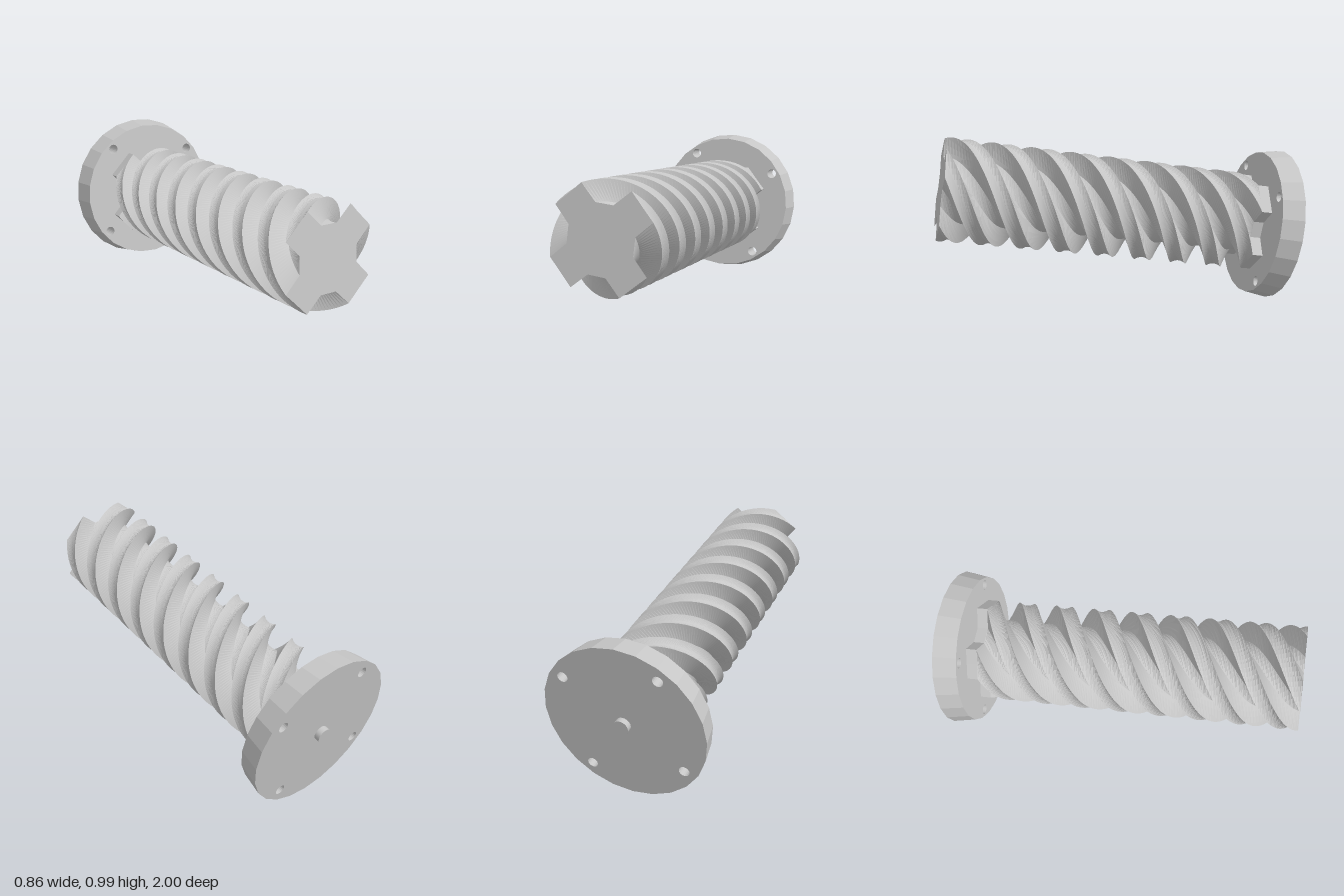
import * as THREE from 'three';

const TILT = THREE.MathUtils.degToRad(9);
const FLANGE = 0.125;   // flange thickness
const LENGTH = 1.914;   // back of flange to tip
const STUB = 0.06;      // untwisted root of the screw
const rad = THREE.MathUtils.degToRad;

// Four-toothed section: flat-topped teeth with trapezoid grooves between them
function section() {
  const pts = [];
  for (let k = 0; k < 4; k++) {
    const c = -4 + k * 90; // middle of the groove
    const corners = [[-27, 0.277], [-15, 0.175], [15, 0.175], [27, 0.277]];
    for (const [a, r] of corners) {
      pts.push(new THREE.Vector2(r * Math.cos(rad(c + a)), r * Math.sin(rad(c + a))));
    }
    // middle of the flat tooth top
    pts.push(new THREE.Vector2(0.263 * Math.cos(rad(c + 45)), 0.263 * Math.sin(rad(c + 45))));
  }
  return pts;
}

// Sweep the section along z, turning it twice
function twistedShaft() {
  const pts = section(), n = pts.length, rows = 240;
  const z0 = FLANGE - 0.01, z1 = FLANGE + STUB;
  const pos = [], idx = [];
  for (let i = 0; i <= rows; i++) {
    const z = i === 0 ? z0 : z1 + (LENGTH - z1) * (i - 1) / (rows - 1);
    const turn = -4 * Math.PI * (LENGTH - Math.max(z, z1)) / (LENGTH - z1);
    const c = Math.cos(turn), s = Math.sin(turn);
    for (const p of pts) pos.push(p.x * c - p.y * s, p.x * s + p.y * c, z);
  }
  for (let i = 0; i < rows; i++) {
    for (let j = 0; j < n; j++) {
      const a = i * n + j, b = i * n + (j + 1) % n;
      idx.push(a, b, b + n, a, b + n, a + n);
    }
  }
  // end caps
  const back = pos.length / 3;
  pos.push(0, 0, z0, 0, 0, LENGTH);
  for (let j = 0; j < n; j++) {
    const k = (j + 1) % n;
    idx.push(back, k, j, back + 1, rows * n + j, rows * n + k);
  }
  const indexed = new THREE.BufferGeometry();
  indexed.setAttribute('position', new THREE.Float32BufferAttribute(pos, 3));
  indexed.setIndex(idx);
  const geo = indexed.toNonIndexed();
  geo.computeVertexNormals();
  return geo;
}

// Faceted disc with four bolt holes, narrowing slightly to the front
function flangeGeometry() {
  const shape = new THREE.Shape();
  const sides = 24;
  for (let i = 0; i < sides; i++) {
    const a = i / sides * Math.PI * 2;
    const x = 0.43 * Math.cos(a), y = 0.43 * Math.sin(a);
    if (i === 0) shape.moveTo(x, y); else shape.lineTo(x, y);
  }
  shape.closePath();
  for (let k = 0; k < 4; k++) {
    const a = rad(35 + k * 90);
    const hole = new THREE.Path();
    hole.absarc(0.365 * Math.cos(a), 0.365 * Math.sin(a), 0.028, 0, Math.PI * 2, true);
    shape.holes.push(hole);
  }
  const geo = new THREE.ExtrudeGeometry(shape, { depth: FLANGE, bevelEnabled: false, curveSegments: 10 });
  const p = geo.attributes.position;
  for (let i = 0; i < p.count; i++) {
    const r = Math.hypot(p.getX(i), p.getY(i));
    if (r > 0.41 && p.getZ(i) > FLANGE / 2) {
      p.setXY(i, p.getX(i) * 0.408 / r, p.getY(i) * 0.408 / r);
    }
  }
  geo.computeVertexNormals();
  return geo;
}

export function createModel() {
  const grey = new THREE.MeshStandardMaterial({ color: 0xc6c6c6 });
  grey.name = 'light grey';

  const model = new THREE.Group();
  model.name = 'flangedScrew';
  const screw = new THREE.Group();
  screw.name = 'tiltedScrew';
  screw.rotation.x = -TILT;
  screw.position.set(0, 0.425, -0.932);
  model.add(screw);

  const add = (name, geo) => {
    const mesh = new THREE.Mesh(geo, grey);
    mesh.name = name;
    screw.add(mesh);
    return mesh;
  };

  add('twistedShaft', twistedShaft());
  add('flange', flangeGeometry());

  // Small locating pin on the back of the flange
  const pin = add('centrePin', new THREE.CylinderGeometry(0.04, 0.04, 0.04, 20));
  pin.rotation.x = Math.PI / 2;
  pin.position.z = -0.01;

  return model;
}
